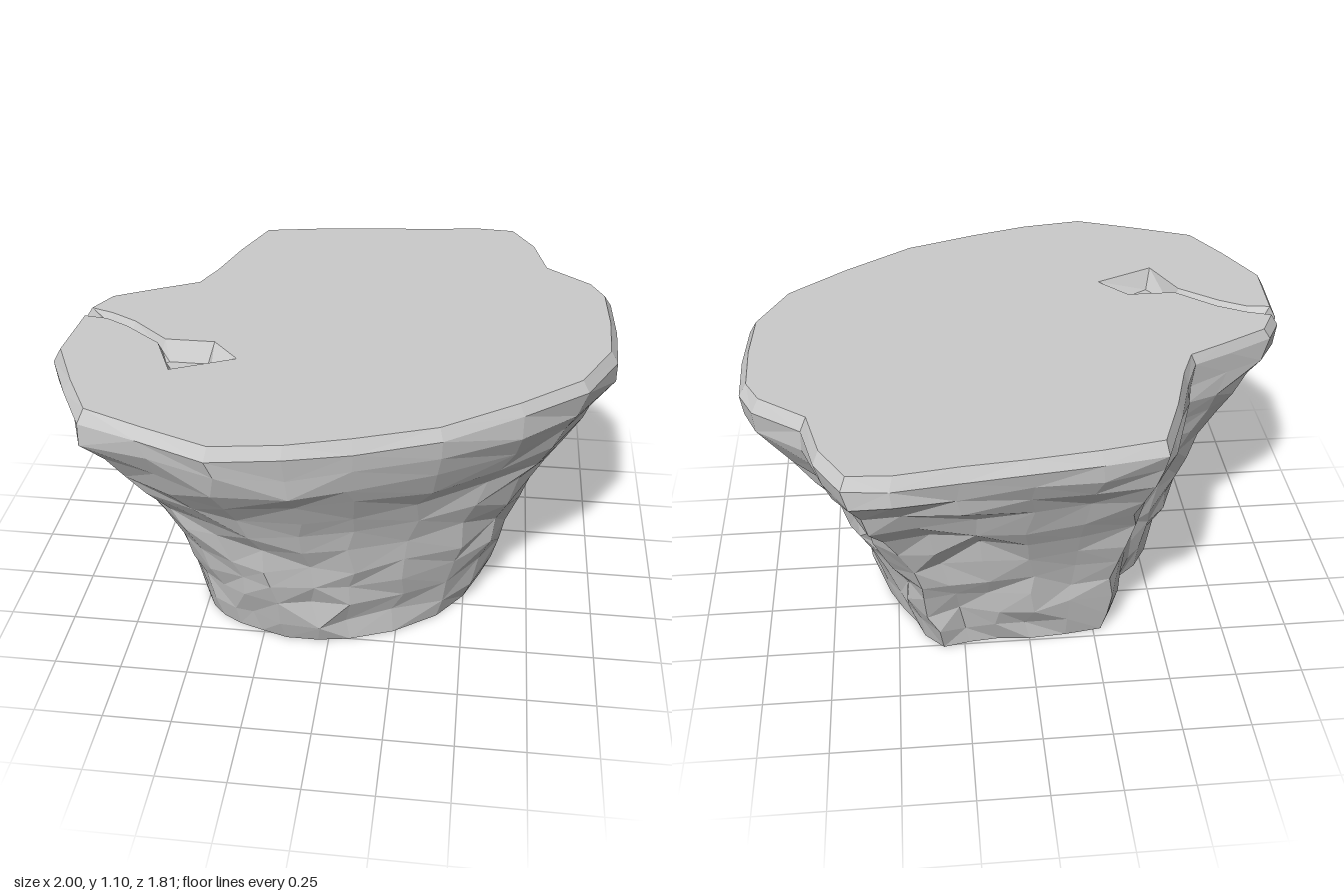
import * as THREE from 'three';

const H = 1.1;
const material = new THREE.MeshStandardMaterial({ color: 0xcccccc, flatShading: true });

// Matching points of the rim and the foot: rim x, rim z, foot x, foot z.
// The first entry is the bottom of the crack, the order runs left, front, right, back.
const outline = [
  [-0.92, 0.035, -0.46, 0.2], [-0.985, 0.07, -0.51, 0.29],
  [-1.0, 0.33, -0.47, 0.37], [-0.9, 0.54, -0.42, 0.42], [-0.8, 0.72, -0.35, 0.46],
  [-0.58, 0.81, -0.26, 0.49], [-0.34, 0.9, -0.16, 0.52], [-0.1, 0.865, -0.04, 0.52],
  [0.12, 0.8, 0.08, 0.5], [0.4, 0.7, 0.24, 0.44], [0.66, 0.52, 0.4, 0.33],
  [0.88, 0.34, 0.5, 0.2], [0.99, 0.12, 0.56, 0.06], [1.0, -0.1, 0.555, -0.06],
  [0.99, -0.32, 0.53, -0.18], [0.94, -0.42, 0.48, -0.28], [0.77, -0.55, 0.43, -0.36],
  [0.72, -0.75, 0.4, -0.44], [0.63, -0.9, 0.33, -0.51], [0.48, -0.91, 0.23, -0.49],
  [0.26, -0.88, 0.12, -0.48], [0.04, -0.86, 0, -0.49], [-0.2, -0.83, -0.14, -0.48],
  [-0.42, -0.79, -0.28, -0.46], [-0.5, -0.58, -0.33, -0.36], [-0.56, -0.38, -0.37, -0.25],
  [-0.61, -0.26, -0.4, -0.16], [-0.75, -0.19, -0.47, -0.1], [-0.92, -0.1, -0.53, 0],
  [-0.975, 0.005, -0.57, 0.12],
];
const N = outline.length;

// Height and flare (0 = foot, 1 = rim) of each ring of the body
const levels = [
  [0, 0], [0.1, 0.06], [0.21, 0.13], [0.31, 0.2], [0.41, 0.27], [0.51, 0.35], [0.61, 0.45],
  [0.71, 0.59], [0.81, 0.74], [0.9, 0.87], [0.98, 0.965], [1.055, 1],
];

let seed = 7;
function noise(amount) {
  seed = (seed * 16807) % 2147483647;
  return (seed / 2147483647 - 0.5) * 2 * amount;
}

function facetMesh(name, triangles) {
  const geometry = new THREE.BufferGeometry().setFromPoints(triangles);
  geometry.computeVertexNormals();
  const mesh = new THREE.Mesh(geometry, material);
  mesh.name = name;
  return mesh;
}

// Two triangles; flip picks the other diagonal
function quad(out, a, b, c, d, flip = false) {
  if (flip) out.push(a, b, d, b, c, d);
  else out.push(a, b, c, a, c, d);
}

function cap(name, points, y, facing) {
  const shape = new THREE.Shape(points.map((p) => new THREE.Vector2(p.x, -facing * p.z)));
  const geometry = new THREE.ShapeGeometry(shape);
  geometry.rotateX(-facing * Math.PI / 2).translate(0, y, 0);
  const mesh = new THREE.Mesh(geometry, material);
  mesh.name = name;
  return mesh;
}

const at = (y) => ([x, z]) => new THREE.Vector3(x, y, z);

export function createModel() {
  const group = new THREE.Group();
  group.name = 'rockPlatform';

  // Rough flared body
  const rings = levels.map(([y, t], r) => outline.map(([tx, tz, bx, bz], i) => {
    const nearCrack = i < 2 || i === N - 1;
    const rough = r === 0 || r === levels.length - 1 ? 0 : nearCrack ? 0.006 : 0.02;
    return new THREE.Vector3(
      THREE.MathUtils.lerp(bx, tx, t) + noise(rough),
      y + (r === 0 ? 0 : noise(Math.min(0.018, rough + 0.006))),
      THREE.MathUtils.lerp(bz, tz, t) + noise(rough));
  }));
  // Bevel up to the flat top; the crack stays lower
  rings.push(outline.map(([x, z], i) => new THREE.Vector3(x * 0.972, i === 0 ? H - 0.04 : H, i === 0 ? z : z * 0.972)));

  const body = [];
  for (let r = 0; r < rings.length - 1; r++) {
    for (let i = 0; i < N; i++) {
      const j = (i + 1) % N;
      quad(body, rings[r][i], rings[r][j], rings[r + 1][j], rings[r + 1][i], noise(1) > 0);
    }
  }
  group.add(facetMesh('rockBody', body));

  // Pit in the top and the groove leading to it from the crack
  const rim = [[-0.62, 0.21], [-0.44, 0.21], [-0.34, 0.32], [-0.56, 0.42], [-0.64, 0.24]].map(at(H));
  const floor = [[-0.6, 0.25], [-0.46, 0.25], [-0.44, 0.31], [-0.54, 0.37], [-0.61, 0.26]].map(at(H - 0.07));
  const top = rings[rings.length - 1];
  const sideA = [top[N - 1], ...[[-0.86, 0.035], [-0.76, 0.09]].map(at(H)), rim[0]];
  const sideB = [top[1], ...[[-0.87, 0.08], [-0.78, 0.13]].map(at(H)), rim[4]];
  const bed = [top[0], ...[[-0.865, 0.055], [-0.77, 0.11], [-0.63, 0.225]].map(at(H - 0.04))];

  const groove = [];
  for (let i = 0; i < 3; i++) {
    quad(groove, sideA[i], bed[i], bed[i + 1], sideA[i + 1]);
    quad(groove, bed[i], sideB[i], sideB[i + 1], bed[i + 1]);
  }
  group.add(facetMesh('topGroove', groove));

  const pit = [];
  for (let i = 0; i < 4; i++) quad(pit, rim[i], floor[i], floor[i + 1], rim[i + 1]);
  pit.push(bed[3], rim[4], floor[4], bed[3], floor[4], floor[0], bed[3], floor[0], rim[0]);
  group.add(facetMesh('pitWalls', pit));
  group.add(cap('pitFloor', floor, H - 0.07, 1));

  // Flat top, cut out along the groove and the pit
  const edge = [...top.slice(1), sideA[1], sideA[2], ...rim, sideB[2], sideB[1]];
  group.add(cap('flatTop', edge, H, 1));
  group.add(cap('base', rings[0], 0, -1));
  return group;
}
